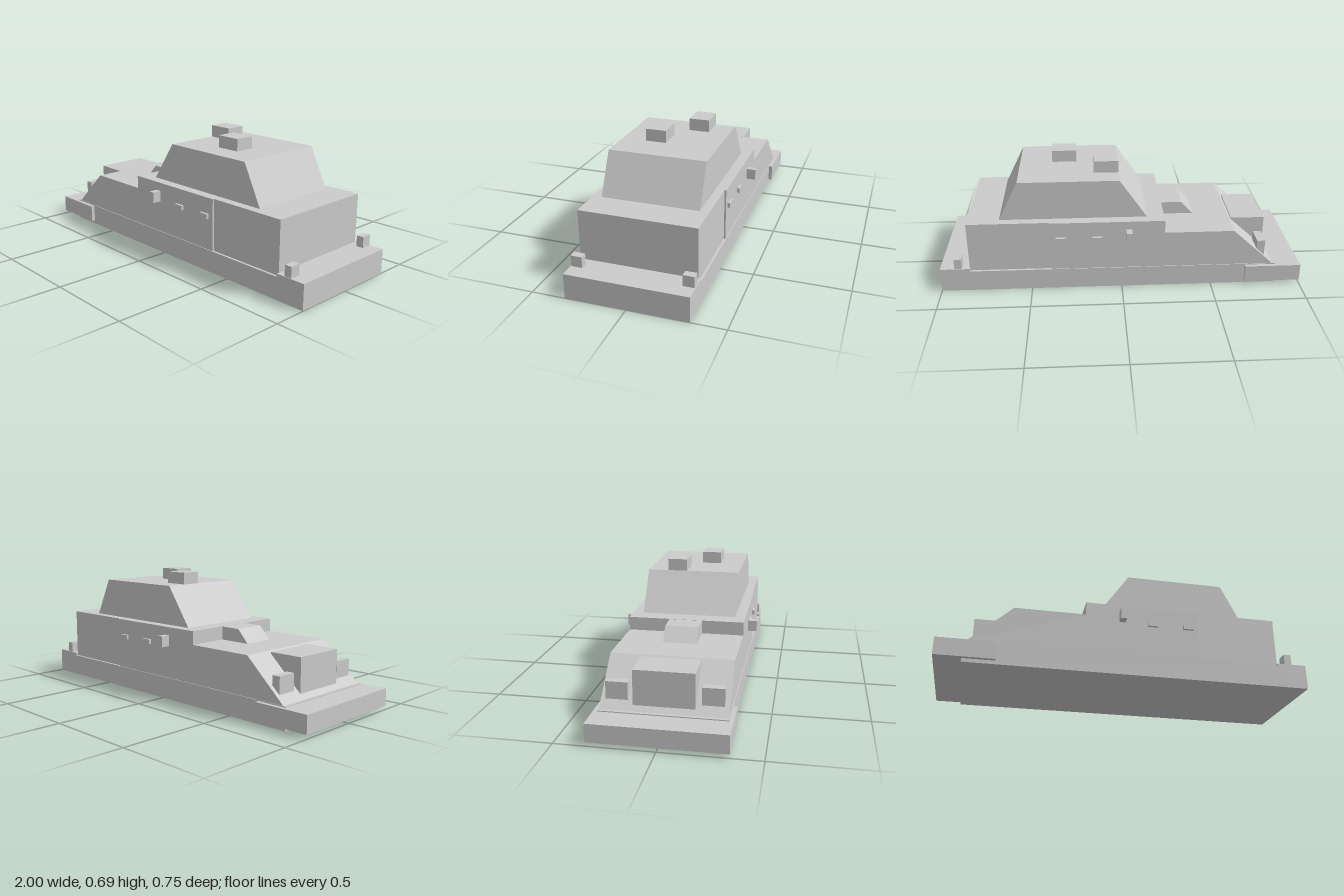
import * as THREE from 'three';

export function createModel() {
  const root = new THREE.Group();
  root.name = 'car';
  const grey = new THREE.MeshStandardMaterial({ color: 0xcccccc });
  grey.name = 'plain grey';

  const add = (name, geometry) => {
    const mesh = new THREE.Mesh(geometry, grey);
    mesh.name = name;
    root.add(mesh);
    return mesh;
  };

  // Box given by its low and high limits on each axis
  const box = (name, [x0, x1], [y0, y1], [z0, z1]) => {
    const mesh = add(name, new THREE.BoxGeometry(x1 - x0, y1 - y0, z1 - z0));
    mesh.position.set((x0 + x1) / 2, (y0 + y1) / 2, (z0 + z1) / 2);
  };

  // The same box on both sides of the car
  const pair = (name, x, y, [z0, z1]) => {
    box(name + 'Left', x, y, [z0, z1]);
    box(name + 'Right', x, y, [-z1, -z0]);
  };

  // Side profile extruded across the width
  const slab = (name, points, halfWidth) => {
    const shape = new THREE.Shape(points.map(([x, y]) => new THREE.Vector2(x, y)));
    const geometry = new THREE.ExtrudeGeometry(shape, { depth: halfWidth * 2, bevelEnabled: false });
    geometry.translate(0, 0, -halfWidth);
    add(name, geometry);
  };

  // Chassis with a slightly raised rear bumper
  slab('chassis', [[-0.86, 0], [1, 0], [1, 0.136], [0.835, 0.136], [0.835, 0.12], [-0.86, 0.12]], 0.321);
  box('frontBumper', [-1, -0.69], [0.02, 0.115], [-0.342, 0.342]);

  // Body: sloped nose and bonnet, then a slightly narrower rear
  slab('body', [[-0.845, 0.118], [0.39, 0.118], [0.39, 0.403], [-0.235, 0.403],
    [-0.235, 0.33], [-0.615, 0.33]], 0.317);
  box('rearBody', [0.39, 0.837], [0.118, 0.403], [-0.308, 0.308]);

  // Cabin and roof blocks
  slab('cabin', [[-0.14, 0.403], [0.663, 0.403], [0.555, 0.62], [0.01, 0.62]], 0.26);
  box('roofBlockFront', [0.01, 0.145], [0.62, 0.686], [-0.147, -0.037]);
  box('roofBlockRear', [0.24, 0.375], [0.62, 0.686], [0.017, 0.128]);

  // Bonnet scoop and grille block
  slab('bonnetScoop', [[-0.417, 0.33], [-0.235, 0.33], [-0.235, 0.402], [-0.35, 0.402]], 0.09);
  box('grille', [-0.818, -0.63], [0.13, 0.325], [-0.153, 0.153]);

  // Lamps, mirrors and door handles
  pair('headlamp', [-0.8, -0.755], [0.145, 0.25], [0.182, 0.293]);
  pair('rearLamp', [0.88, 0.92], [0.136, 0.195], [0.258, 0.317]);
  pair('mirror', [-0.055, -0.022], [0.3, 0.36], [0.325, 0.375]);
  for (const x of [0.105, 0.303]) pair('doorHandle', [x, x + 0.056], [0.291, 0.317], [0.305, 0.331]);

  return root;
}
